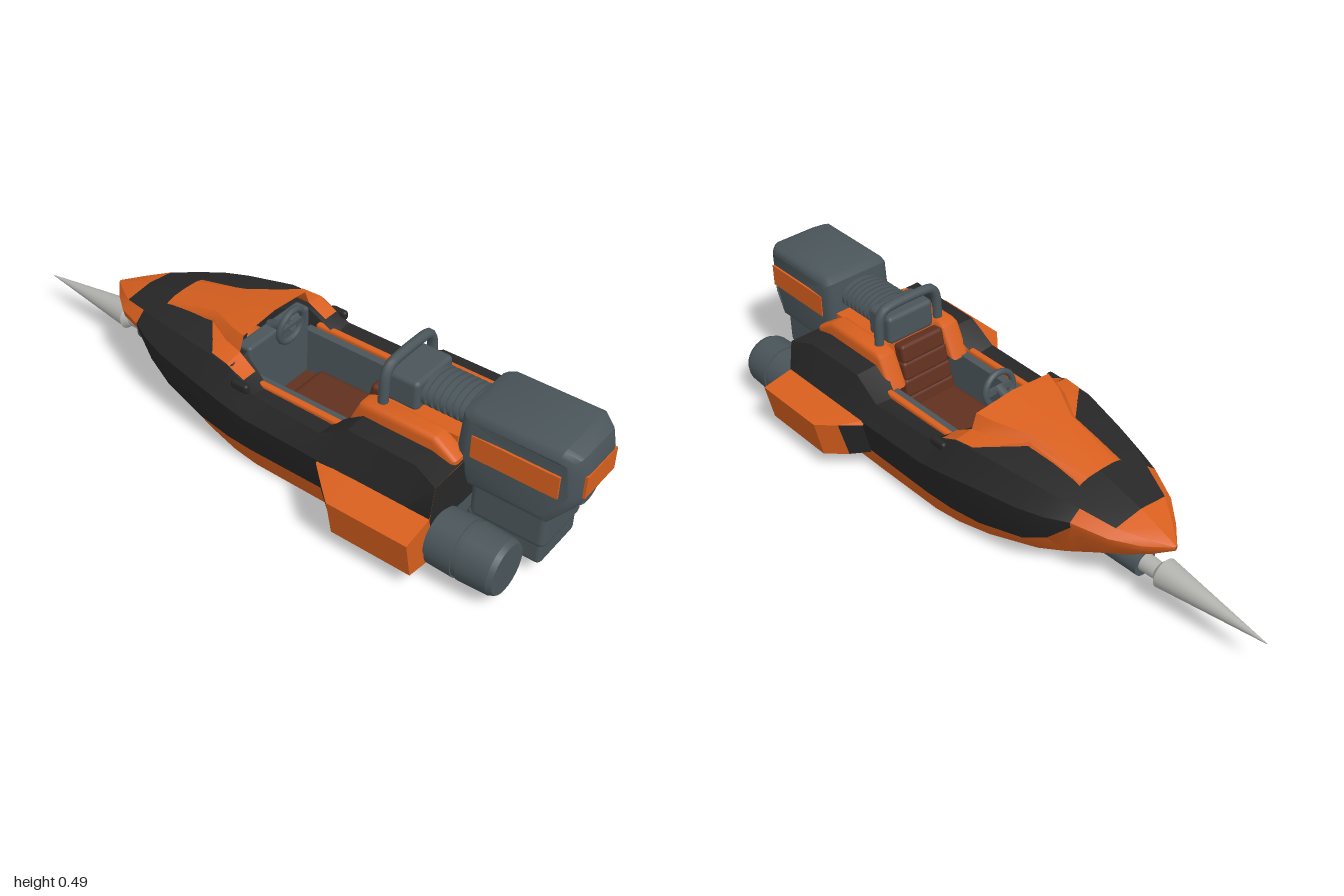
import * as THREE from 'three';
import { toCreasedNormals } from 'three/addons/utils/BufferGeometryUtils.js';
import { RoundedBoxGeometry } from 'three/addons/geometries/RoundedBoxGeometry.js';

const paint = (name, color) => {
  const m = new THREE.MeshStandardMaterial({ color, side: THREE.DoubleSide });
  m.name = name;
  return m;
};
const orange = paint('orange paint', 0xd85f1e);
const black = paint('black paint', 0x272727);
const grey = paint('engine grey', 0x4a555a);
const brown = paint('brown leather', 0x61301f);
const silver = paint('spike metal', 0xb2b2ae);
const paints = [orange, black, brown];

export function createModel() {
  const root = new THREE.Group();
  root.name = 'speedboat';

  const add = (name, geo, mat, x = 0, y = 0, z = 0, parent = root) => {
    const m = new THREE.Mesh(geo, mat);
    m.name = name;
    m.position.set(x, y, z);
    parent.add(m);
    return m;
  };
  // box given by its limits
  const box = (name, mat, [x0, x1], [y0, y1], [z0, z1], r = 0) => add(name,
    r ? new RoundedBoxGeometry(x1 - x0, y1 - y0, z1 - z0, 2, r) : new THREE.BoxGeometry(x1 - x0, y1 - y0, z1 - z0),
    mat, (x0 + x1) / 2, (y0 + y1) / 2, (z0 + z1) / 2);
  // cylinder lying along x; r0 is the radius at the smaller x
  const rod = (name, mat, x0, x1, r0, r1, y, z, n = 24) =>
    add(name, new THREE.CylinderGeometry(r0, r1, x1 - x0, n).rotateZ(Math.PI / 2), mat, (x0 + x1) / 2, y, z);
  // side profile in x, y, extruded across z with a bevel; width factor depends on x
  const slab = (name, mat, pts, width, bevel, z = 0, taper = () => 1) => {
    const shape = new THREE.Shape(pts.map(p => new THREE.Vector2(...p)));
    const g = new THREE.ExtrudeGeometry(shape, { depth: width - 2 * bevel, bevelSize: bevel, bevelThickness: bevel,
      bevelOffset: -bevel, bevelSegments: 3 });
    g.translate(0, 0, bevel - width / 2);
    const p = g.attributes.position;
    for (let i = 0; i < p.count; i++) p.setZ(i, p.getZ(i) * taper(p.getX(i)));
    return add(name, toCreasedNormals(g, 0.6), mat, 0, 0, z);
  };
  // skin through cross-sections [x, [[z, y], ...]], coloured by colour(i, j), on side s
  const loft = (name, sections, s, colour, crease = 0.5) => {
    const lists = paints.map(() => []);
    const pt = (i, j) => [sections[i][0], sections[i][1][j][1], s * sections[i][1][j][0]];
    for (let i = 0; i < sections.length - 1; i++) {
      for (let j = 0; j < sections[0][1].length - 1; j++) {
        const q = [pt(i, j), pt(i + 1, j), pt(i + 1, j + 1), pt(i, j + 1)];
        if (s < 0) q.reverse();
        lists[colour(i, j)].push(...[0, 1, 2, 0, 2, 3].flatMap(k => q[k]));
      }
    }
    let g = new THREE.BufferGeometry();
    g.setAttribute('position', new THREE.Float32BufferAttribute(lists.flat(), 3));
    let start = 0;
    lists.forEach((l, k) => {
      if (l.length) g.addGroup(start, l.length / 3, k);
      start += l.length / 3;
    });
    g = toCreasedNormals(g, crease);
    return add(name, g, paints);
  };

  // hull sections: x, then [z, y] of keel edge, chine, widest line, deck edge, inner deck
  const hull = [
    [-0.68, [0.002, 0.206], [0.004, 0.211], [0.005, 0.215], [0.004, 0.219], [0, 0.221]],
    [-0.62, [0.02, 0.165], [0.06, 0.2], [0.066, 0.22], [0.05, 0.236], [0, 0.243]],
    [-0.55, [0.04, 0.127], [0.115, 0.205], [0.122, 0.233], [0.095, 0.255], [0, 0.267]],
    [-0.45, [0.07, 0.085], [0.162, 0.232], [0.165, 0.25], [0.13, 0.28], [0, 0.292]],
    [-0.38, [0.1, 0.06], [0.18, 0.16], [0.195, 0.242], [0.155, 0.295], [0, 0.31]],
    [-0.3, [0.135, 0.04], [0.195, 0.115], [0.222, 0.24], [0.175, 0.307], [0, 0.325]],
    [-0.15, [0.18, 0.018], [0.22, 0.085], [0.252, 0.238], [0.205, 0.322], [0, 0.34]],
    [-0.04, [0.2, 0.006], [0.23, 0.075], [0.262, 0.222], [0.215, 0.316], [0.14, 0.322]],
    [0.05, [0.21, 0.003], [0.235, 0.075], [0.263, 0.205], [0.22, 0.265], [0.155, 0.255]],
    [0.29, [0.21, 0], [0.235, 0.075], [0.264, 0.2], [0.228, 0.26], [0.155, 0.252]],
    [0.38, [0.21, 0], [0.235, 0.075], [0.265, 0.2], [0.225, 0.318], [0.13, 0.32]],
    [0.6, [0.21, 0], [0.235, 0.075], [0.265, 0.2], [0.228, 0.318], [0.1, 0.32]],
    [0.675, [0.21, 0], [0.235, 0.075], [0.265, 0.2], [0.25, 0.3], [0, 0.3]],
  ].map(([x, ...p]) => [x, [[0, p[0][1]], ...p]]);
  const hullColour = (i, j) => {
    if (j === 0) return i < 4 ? 0 : 2;
    if (j === 1 || i < 2) return 0;
    return i === 2 && j < 4 ? 0 : 1;
  };

  // raised bow cowl, spreading towards the cockpit
  const cowl = [
    [-0.4, [[0.085, 0.293], [0.075, 0.302], [0.05, 0.309], [0, 0.311]]],
    [-0.21, [[0.09, 0.327], [0.085, 0.338], [0.07, 0.352], [0, 0.356]]],
    [-0.11, [[0.205, 0.325], [0.145, 0.336], [0.12, 0.368], [0, 0.376]]],
    [-0.05, [[0.213, 0.321], [0.155, 0.328], [0.138, 0.375], [0, 0.387]]],
  ];
  const cowlCorner = [[-0.05, [[0.213, 0.321], [0.155, 0.328]]], [0.01, [[0.212, 0.292], [0.16, 0.292]]]];

  // side pods, with a black intake in the slanted front
  const podEnd = [[0.2, 0.035], [0.34, 0.06], [0.365, 0.182], [0.25, 0.205]];
  const pod = [
    [0.31, [[0.21, 0.05], [0.243, 0.08], [0.268, 0.193], [0.25, 0.205]]],
    [0.365, [[0.2, 0.035], [0.285, 0.062], [0.318, 0.188], [0.25, 0.205]]],
    [0.42, podEnd], [0.675, podEnd], [0.676, podEnd.map(() => [0.25, 0.12])],
  ];

  for (const s of [1, -1]) {
    loft('hull half', hull, s, hullColour);
    loft('bow cowl half', cowl, s, () => 0);
    loft('cowl corner', cowlCorner, s, () => 0);
    loft('side pod', pod, s, (i, j) => (i === 0 && j === 1 ? 1 : 0), 0.3);
    const zr = (a, b) => (s > 0 ? [a, b] : [-b, -a]);
    box('cockpit rim', orange, [-0.02, 0.34], [0.235, 0.268], zr(0.15, 0.172), 0.008);
    box('cockpit wall', grey, [-0.04, 0.38], [0.08, 0.255], zr(0.125, 0.152));
    box('deck vent', black, [-0.02, 0.04], [0.265, 0.295], zr(0.215, 0.236), 0.01);

    // housing beside the seat
    slab('seat side housing', orange, [[0.315, 0.25], [0.36, 0.35], [0.385, 0.36], [0.6, 0.36], [0.67, 0.315],
      [0.67, 0.25]], 0.065, 0.015, s * 0.122);

    // thruster with collar and bell
    rod('thruster neck', grey, 0.66, 0.7, 0.072, 0.072, 0.118, s * 0.215);
    rod('thruster collar', grey, 0.685, 0.765, 0.083, 0.085, 0.118, s * 0.215);
    rod('thruster groove', grey, 0.765, 0.78, 0.08, 0.08, 0.118, s * 0.215);
    rod('thruster bell', grey, 0.78, 0.87, 0.085, 0.081, 0.118, s * 0.215);
    rod('thruster tip', grey, 0.87, 0.885, 0.081, 0.074, 0.118, s * 0.215);
  }
  box('rear housing', orange, [0.4, 0.64], [0.25, 0.352], [-0.1, 0.1]);

  // transom
  const transom = (name, mat, pts) => {
    const shape = new THREE.Shape([...pts, ...pts.map(([z, y]) => [-z, y]).reverse()].map(p => new THREE.Vector2(...p)));
    add(name, new THREE.ShapeGeometry(shape).rotateY(Math.PI / 2), mat, 0.676);
  };
  transom('transom top', black, [[0.256, 0.15], [0.265, 0.2], [0.25, 0.3]]);
  transom('transom middle', grey, [[0.23, 0.06], [0.256, 0.15]]);
  transom('transom foot', orange, [[0.21, 0], [0.23, 0.06]]);
  box('belly plate', grey, [0.17, 0.3], [-0.002, 0.004], [-0.05, 0.05]);

  // cockpit and seat
  box('cockpit floor', brown, [-0.05, 0.39], [0.07, 0.106], [-0.13, 0.13]);
  box('dashboard', grey, [-0.08, -0.03], [0.1, 0.335], [-0.135, 0.135], 0.01);
  box('seat cushion', brown, [0.04, 0.35], [0.105, 0.165], [-0.1, 0.1], 0.02);
  const back = new THREE.Group();
  back.name = 'seat back';
  back.position.set(0.325, 0.14, 0);
  back.rotation.z = -0.2;
  root.add(back);
  for (let i = 0; i < 4; i++) {
    add('back pad', new RoundedBoxGeometry(0.045, 0.062, 0.185 - 0.008 * i, 2, 0.012), brown, 0, 0.03 + i * 0.055, 0, back);
  }

  // steering wheel
  const wheel = new THREE.Group();
  wheel.name = 'steering wheel';
  wheel.position.set(0.008, 0.36, 0);
  wheel.rotation.z = -0.1;
  root.add(wheel);
  add('wheel rim', new THREE.TorusGeometry(0.052, 0.01, 8, 24).rotateY(Math.PI / 2), grey, 0, 0, 0, wheel);
  add('wheel spoke', new THREE.BoxGeometry(0.012, 0.018, 0.1), grey, 0, 0, 0, wheel);
  add('wheel column', new THREE.CylinderGeometry(0.016, 0.016, 0.09, 12).rotateZ(Math.PI / 2 + 0.5), grey, -0.035, -0.02, 0, wheel);

  // roll bar
  const bar = new THREE.CatmullRomCurve3([[0.27, -0.115], [0.43, -0.11], [0.47, -0.085], [0.475, 0], [0.47, 0.085],
    [0.43, 0.11], [0.27, 0.115]].map(([y, z]) => new THREE.Vector3(0.412, y, z)), false, 'catmullrom', 0.3);
  add('roll bar', new THREE.TubeGeometry(bar, 40, 0.015, 10), grey);

  // ribbed neck
  box('neck block', grey, [0.395, 0.5], [0.345, 0.44], [-0.085, 0.085], 0.015);
  rod('neck core', grey, 0.48, 0.66, 0.04, 0.04, 0.395, 0).scale.z = 1.7;
  for (let i = 0; i < 7; i++) {
    rod('neck rib', grey, 0.505 + i * 0.02, 0.517 + i * 0.02, 0.046, 0.046, 0.395, 0).scale.z = 1.7;
  }

  // outboard engine, narrowing at its rear
  slab('engine cowl', grey, [[0.64, 0.33], [0.65, 0.45], [0.68, 0.465], [0.94, 0.467], [0.98, 0.445], [0.995, 0.4],
    [0.995, 0.32], [0.975, 0.28], [0.92, 0.215], [0.68, 0.215], [0.645, 0.3]], 0.235, 0.03, 0,
  x => 1 - 0.3 * THREE.MathUtils.clamp((x - 0.94) / 0.055, 0, 1));
  for (const s of [1, -1]) {
    box('engine side band', orange, [0.69, 0.945], [0.325, 0.395], s > 0 ? [0.113, 0.12] : [-0.12, -0.113]);
  }
  box('engine rear band', orange, [0.99, 0.998], [0.325, 0.395], [-0.075, 0.075]);
  box('engine leg', grey, [0.69, 0.92], [0.11, 0.235], [-0.1, 0.1], 0.02);
  box('engine lower leg', grey, [0.68, 0.912], [0.048, 0.125], [-0.092, 0.092], 0.015);
  box('engine foot', grey, [0.67, 0.8], [0.022, 0.06], [-0.088, 0.088], 0.012);

  // bow spike
  rod('spike mount', grey, -0.58, -0.3, 0.04, 0.045, 0.09, 0);
  rod('spike collar', silver, -0.65, -0.57, 0.025, 0.028, 0.096, 0);
  rod('spike base', silver, -0.65, -0.635, 0.045, 0.03, 0.1, 0);
  rod('spike', silver, -1, -0.65, 0.001, 0.045, 0.104, 0);
  return root;
}
